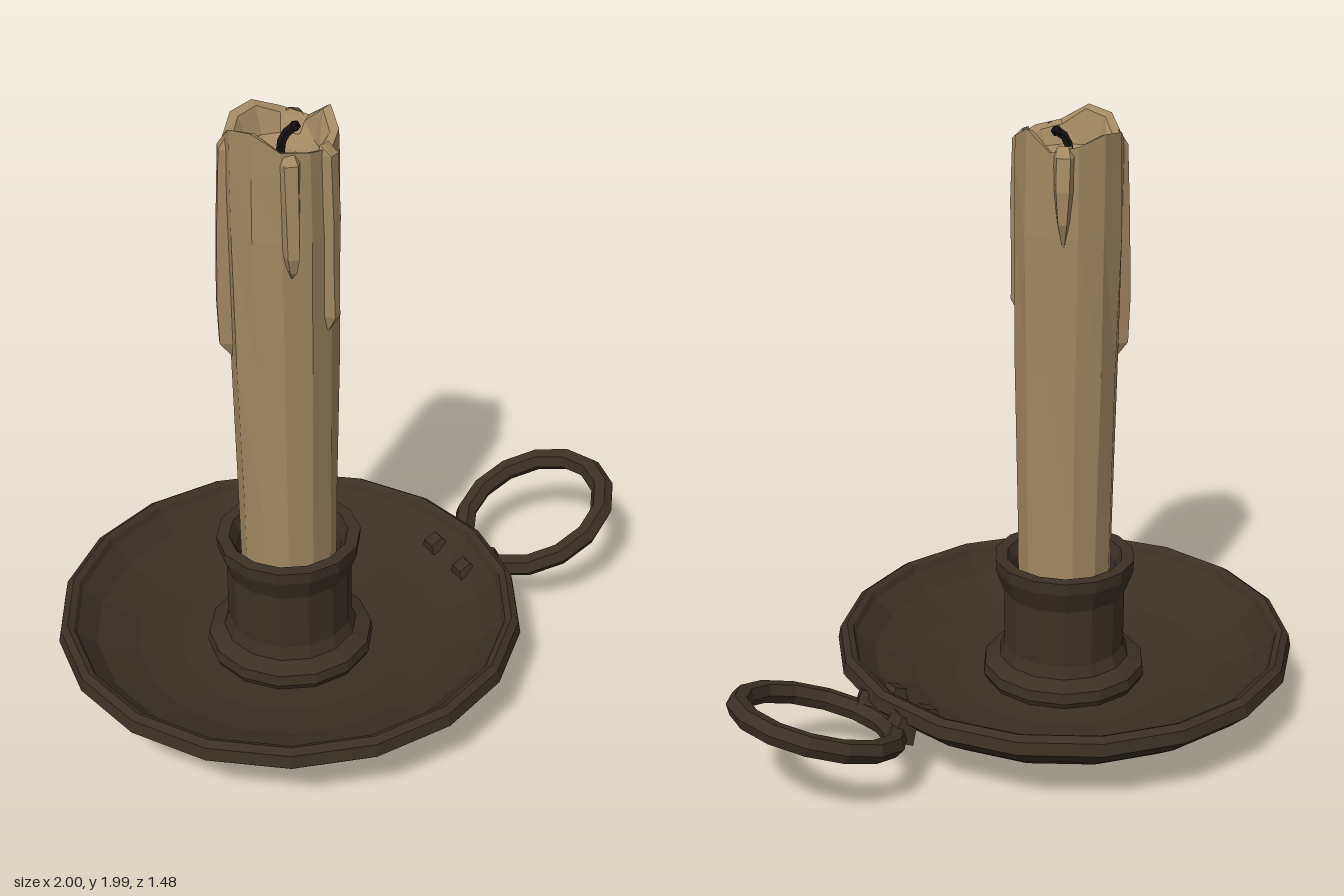
import * as THREE from 'three';

const CX = -0.25; // axis of dish and candle
const mat = (name, color, extra = {}) => {
  const m = new THREE.MeshStandardMaterial({ color, flatShading: true, ...extra });
  m.name = name;
  return m;
};

export function createModel() {
  const group = new THREE.Group();
  const metal = mat('dark metal', 0x3b3025);
  const wax = mat('wax', 0xa38862);
  const dripWax = mat('wax', 0xa38862, { side: THREE.DoubleSide });
  dripWax.color = wax.color;
  const wickMat = mat('burnt wick', 0x15120f);

  const add = (name, geo, material, x = CX, y = 0, z = 0) => {
    const m = new THREE.Mesh(geo, material);
    m.name = name;
    m.position.set(x, y, z);
    group.add(m);
    return m;
  };
  const lathe = (pts, sides) => new THREE.LatheGeometry(
    pts.map(([r, y]) => new THREE.Vector2(r, y)), sides, Math.PI / 2);

  // Dish with recessed underside and rolled rim
  add('dish', lathe([[0, 0.03], [0.27, 0.03], [0.36, 0], [0.4, 0], [0.6, 0.095], [0.69, 0.155],
    [0.75, 0.21], [0.742, 0.25], [0.72, 0.265], [0.7, 0.255], [0.69, 0.235], [0.63, 0.18],
    [0.5, 0.125], [0.36, 0.1], [0, 0.1]], 18), metal);

  // Candle socket with foot and flared lip
  add('socket', lathe([[0.255, 0.09], [0.27, 0.12], [0.265, 0.155], [0.215, 0.18], [0.2, 0.22],
    [0.2, 0.415], [0.228, 0.49], [0.23, 0.53], [0.19, 0.53], [0.17, 0.49], [0.165, 0.42],
    [0, 0.42]], 14), metal);

  // Candle: a shaft whose rim is moved to uneven heights, with a melted hollow
  const rim = [1.97, 1.93, 1.91, 1.925, 1.935, 1.985, 1.97, 1.91, 1.95, 1.96, 1.93, 1.91];
  const candleGeo = lathe([[0.152, 0.43], [0.155, 0.7], [0.163, 1.2], [0.17, 1.65], [0.168, 1.85],
    [0.166, 1.95], [0.14, 1.94], [0.11, 1.87], [0.05, 1.85], [0, 1.85]], 12);
  const p = candleGeo.attributes.position;
  for (let i = 0; i < p.count; i++) {
    const x = p.getX(i), y = p.getY(i), z = p.getZ(i);
    const k = (Math.round(Math.atan2(z, x) / (Math.PI / 6)) + 12) % 12;
    if (y > 1.9) p.setY(i, y + rim[k] - 1.95);
    else if (y > 1 && y < 1.84) {
      const s = 1 + 0.02 * Math.sin(k * 2.3 + y * 5); // slightly uneven wax
      p.setX(i, x * s);
      p.setZ(i, z * s);
    }
  }
  add('candle', candleGeo, wax);

  // Wax drips: rows of [y, half width, outward reach] lofted against the shaft
  const drip = (deg, rows) => {
    const a = THREE.MathUtils.degToRad(deg), pos = [], idx = [];
    rows.forEach(([y, w, out], i) => {
      [[-w, 0.148], [-w * 0.6, out], [w * 0.6, out], [w, 0.148]].forEach(([t, r]) => pos.push(
        r * Math.cos(a) - t * Math.sin(a), y, r * Math.sin(a) + t * Math.cos(a)));
      for (let j = 0; i && j < 3; j++) {
        const b = i * 4 + j, c = b - 4;
        idx.push(c, c + 1, b, c + 1, b + 1, b);
      }
    });
    const g = new THREE.BufferGeometry();
    g.setAttribute('position', new THREE.Float32BufferAttribute(pos, 3));
    g.setIndex(idx);
    g.computeVertexNormals();
    add('waxDrip', g, dripWax);
  };
  drip(111, [[1.93, 0.02, 0.155], [1.9, 0.033, 0.185], [1.75, 0.03, 0.2], [1.62, 0.028, 0.208],
    [1.57, 0.016, 0.195], [1.54, 0.004, 0.165]]);
  drip(65, [[1.93, 0.02, 0.155], [1.9, 0.03, 0.185], [1.7, 0.03, 0.192], [1.5, 0.024, 0.19],
    [1.38, 0.022, 0.192], [1.33, 0.008, 0.165]]);
  drip(203, [[1.93, 0.02, 0.155], [1.89, 0.032, 0.18], [1.65, 0.028, 0.192], [1.4, 0.026, 0.2],
    [1.25, 0.022, 0.196], [1.2, 0.006, 0.16]]);
  drip(315, [[1.93, 0.02, 0.155], [1.9, 0.035, 0.185], [1.8, 0.033, 0.2], [1.7, 0.022, 0.195],
    [1.62, 0.005, 0.165]]);

  // Bent wick
  const bend = new THREE.CatmullRomCurve3([[0, 1.84, 0], [0, 1.89, 0.005], [0.01, 1.92, 0.012],
    [0.035, 1.94, 0.02]].map((v) => new THREE.Vector3(...v)));
  add('wick', new THREE.TubeGeometry(bend, 4, 0.014, 5), wickMat);
  add('wickTip', new THREE.IcosahedronGeometry(0.018, 0), wickMat, CX + 0.035, 1.94, 0.02);

  // Tilted ring handle
  const ring = new THREE.TorusGeometry(0.235, 0.036, 6, 14);
  ring.rotateX(Math.PI / 2);
  ring.scale(1.09, 1, 1);
  ring.rotateZ(0.36);
  add('ringHandle', ring, metal, 0.72, 0.248);

  // Clamps holding the ring, with rivet heads inside the dish
  for (const s of [-1, 1]) {
    const clamp = add('handleClamp', new THREE.CylinderGeometry(0.045, 0.06, 0.08, 5), metal,
      0.465, 0.185, s * 0.09);
    clamp.rotation.set(0, s * 0.4, 0.36);
    const rivet = new THREE.CylinderGeometry(0.032, 0.055, 0.05, 4);
    rivet.rotateY(Math.PI / 4);
    add('rivetHead', rivet, metal, 0.375, 0.19, s * 0.085).rotation.z = 0.4;
  }
  return group;
}
